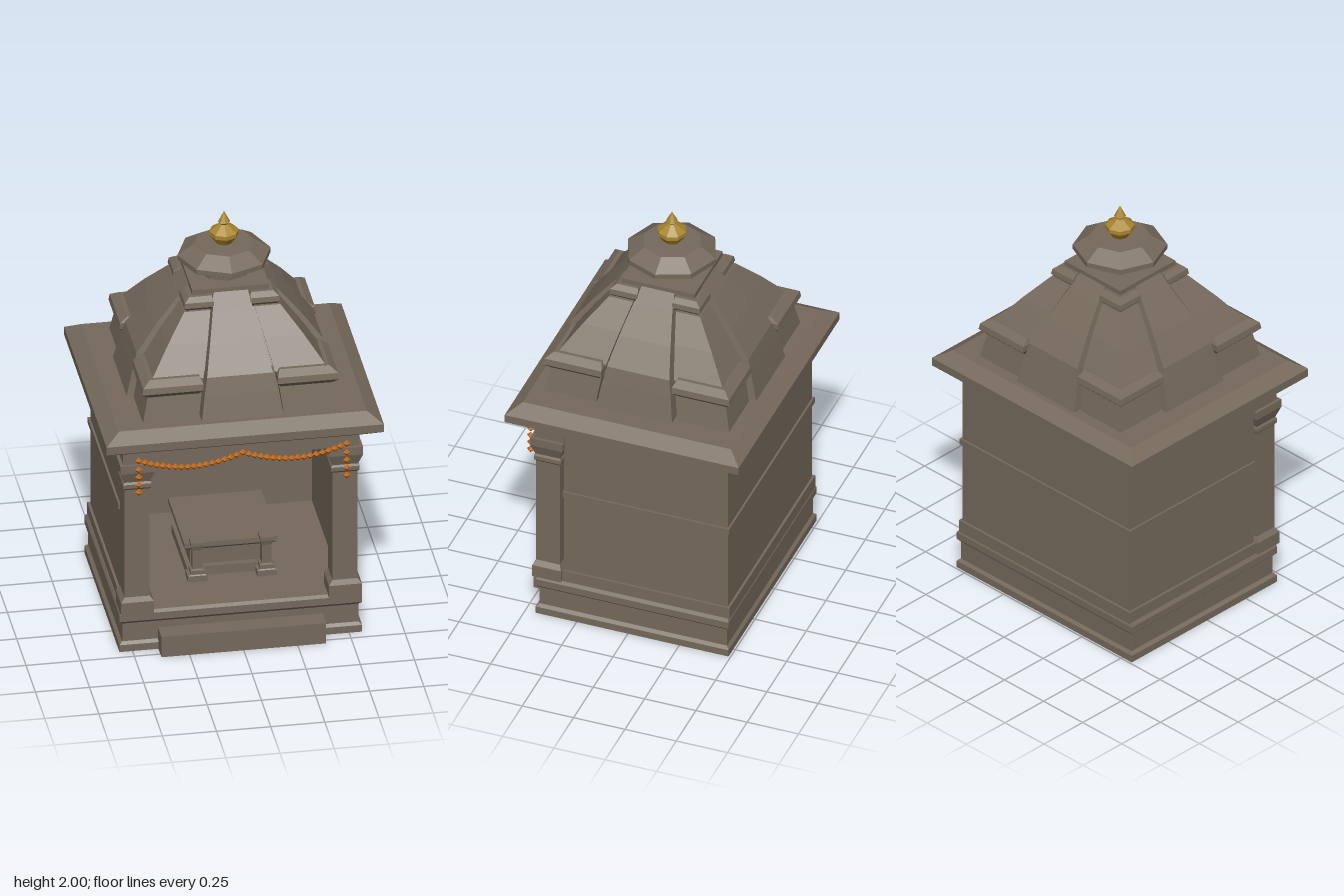
import * as THREE from 'three';

export function createModel() {
  const root = new THREE.Group();
  root.name = 'stoneShrine';
  const stone = new THREE.MeshStandardMaterial({ color: 0x75695b, side: THREE.DoubleSide, flatShading: true });
  stone.name = 'stone';
  const gold = new THREE.MeshStandardMaterial({ color: 0xa8862f, flatShading: true });
  gold.name = 'gold';
  const orange = new THREE.MeshStandardMaterial({ color: 0xc0650f, flatShading: true });
  orange.name = 'marigold orange';

  const add = (name, geo, mat = stone, parent = root) => {
    const mesh = new THREE.Mesh(geo, mat);
    mesh.name = name;
    parent.add(mesh);
    return mesh;
  };
  const group = (name) => {
    const g = new THREE.Group();
    g.name = name;
    root.add(g);
    return g;
  };

  // Stack of rectangular sections, each [y, x0, x1, z0, z1]
  const loft = (rows, openBottom = false) => {
    const rings = rows.map(([y, x0, x1, z0, z1]) => [[x0, y, z1], [x1, y, z1], [x1, y, z0], [x0, y, z0]]);
    const pos = [];
    const quad = (a, b, c, d) => pos.push(...a, ...b, ...c, ...a, ...c, ...d);
    for (let r = 0; r + 1 < rings.length; r++) {
      for (let i = 0; i < 4; i++) {
        const j = (i + 1) % 4;
        quad(rings[r][i], rings[r][j], rings[r + 1][j], rings[r + 1][i]);
      }
    }
    quad(...rings[rings.length - 1]);
    if (!openBottom) quad(...rings[0].slice().reverse());
    const geo = new THREE.BufferGeometry();
    geo.setAttribute('position', new THREE.Float32BufferAttribute(pos, 3));
    geo.computeVertexNormals();
    return geo;
  };
  const box = (x0, x1, y0, y1, z0, z1) => loft([[y0, x0, x1, z0, z1], [y1, x0, x1, z0, z1]]);
  // Sections centred on (cx, cz), each [y, half width, half depth]
  const centred = (rows, cx = 0, cz = 0) => rows.map(([y, w, d = w]) => [y, cx - w, cx + w, cz - d, cz + d]);

  // Hollow moulded plinth whose top is the floor
  add('plinth', loft(centred([
    [0, 0.56, 0.47], [0.035, 0.56, 0.47], [0.048, 0.545, 0.457], [0.14, 0.545, 0.457],
    [0.155, 0.56, 0.47], [0.19, 0.56, 0.47], [0.205, 0.55, 0.462],
  ], 0, -0.02), true));
  add('frontStep', box(-0.38, 0.38, 0, 0.105, 0.43, 0.53));

  // U-shaped walls, open at the front, with bands round the outside
  const uWall = (name, y0, y1, out, inner, front) => {
    const x = 0.535 + out, back = 0.477 + out;
    const pts = [[-x, -front], [-inner, -front], [-inner, 0.43], [inner, 0.43], [inner, -front], [x, -front], [x, back], [-x, back]];
    const shape = new THREE.Shape(pts.map(([a, b]) => new THREE.Vector2(a, b)));
    const geo = new THREE.ExtrudeGeometry(shape, { depth: y1 - y0, bevelEnabled: false });
    geo.rotateX(-Math.PI / 2).translate(0, y0, 0);
    return add(name, geo);
  };
  uWall('walls', 0.2, 1.06, 0, 0.48, 0.322);
  uWall('wallFoot', 0.2, 0.262, 0.012, 0.485, 0.325);
  uWall('wallBand', 0.675, 0.705, 0.01, 0.485, 0.325);

  // Front columns and lintel
  for (const s of [1, -1]) {
    add(s > 0 ? 'leftColumn' : 'rightColumn', loft(centred([
      [0.2, 0.076, 0.07], [0.262, 0.076, 0.07], [0.285, 0.058], [0.845, 0.058], [0.855, 0.066],
      [0.875, 0.066], [0.885, 0.06], [0.94, 0.08], [0.98, 0.08],
    ], s * 0.48, 0.398)));
  }
  add('lintel', box(-0.545, 0.545, 0.978, 1.06, 0.318, 0.462));

  // Altar with two short posts in front
  const altar = group('altar');
  add('altarBase', box(-0.2, 0.2, 0.2, 0.25, -0.24, 0.17), stone, altar);
  add('altarBody', box(-0.18, 0.18, 0.25, 0.35, -0.22, 0.14), stone, altar);
  add('altarTop', loft([
    [0.343, -0.195, 0.195, -0.23, 0.165], [0.36, -0.215, 0.215, -0.25, 0.185], [0.385, -0.215, 0.215, -0.25, 0.185],
  ]), stone, altar);
  for (const x of [-0.16, 0.16]) {
    add('altarPost', loft(centred([
      [0.2, 0.045, 0.036], [0.235, 0.045, 0.036], [0.24, 0.032], [0.26, 0.032], [0.265, 0.022],
      [0.36, 0.022], [0.385, 0.03], [0.402, 0.03],
    ], x, 0.19)), stone, altar);
  }

  // Overhanging cornice
  add('cornice', loft(centred([
    [1.05, 0.555, 0.487], [1.1, 0.64, 0.57], [1.14, 0.64, 0.57], [1.183, 0.572, 0.507],
  ])));

  // Roof tower: a core, two crossing ribs and four ledged corners
  const roof = group('roof');
  add('roofCore', loft(centred([[1.18, 0.41], [1.38, 0.365], [1.5, 0.285], [1.61, 0.19], [1.68, 0.15]])), stone, roof);
  const rib = [[1.18, 0.185, 0.482], [1.3, 0.167, 0.452], [1.38, 0.152, 0.43], [1.5, 0.123, 0.34], [1.62, 0.092, 0.235], [1.68, 0.08, 0.178]];
  add('frontBackRib', loft(centred(rib)), stone, roof);
  add('sideRib', loft(centred(rib.map(([y, w, d]) => [y, d, w]))), stone, roof);
  // Corner tiers as [y, inner edge, outer edge]
  const tiers = {
    cornerFoot: [[1.18, 0.198, 0.452], [1.31, 0.18, 0.425]],
    cornerLedge: [[1.3, 0.19, 0.425], [1.33, 0.172, 0.455], [1.36, 0.172, 0.45], [1.385, 0.185, 0.415]],
    cornerSlope: [[1.37, 0.165, 0.408], [1.5, 0.134, 0.315], [1.615, 0.104, 0.222]],
    cornerCap: [[1.605, 0.098, 0.2], [1.63, 0.085, 0.222], [1.655, 0.085, 0.218], [1.675, 0.09, 0.195]],
  };
  for (const sx of [1, -1]) for (const sz of [1, -1]) {
    for (const [name, rows] of Object.entries(tiers)) {
      add(name, loft(rows.map(([y, a, b]) => [
        y, Math.min(sx * a, sx * b), Math.max(sx * a, sx * b), Math.min(sz * a, sz * b), Math.max(sz * a, sz * b),
      ])), stone, roof);
    }
  }
  add('roofPlate', box(-0.178, 0.178, 1.67, 1.7, -0.178, 0.178), stone, roof);

  // Octagonal neck and crown stone, then the gilded finial
  const lathe = (pts, sides) => new THREE.LatheGeometry(pts.map(([r, y]) => new THREE.Vector2(r, y)), sides);
  add('crownStone', lathe([
    [0, 1.69], [0.12, 1.69], [0.12, 1.725], [0.15, 1.73], [0.215, 1.765], [0.215, 1.79], [0.14, 1.838], [0, 1.84],
  ], 8), stone, roof);
  add('finial', lathe([
    [0, 1.83], [0.036, 1.835], [0.042, 1.845], [0.068, 1.88], [0.068, 1.9], [0.032, 1.925], [0.018, 1.935],
    [0.028, 1.945], [0, 2],
  ], 8), gold);

  // Garland: two swags and a hanging string at each end
  const garland = group('garland');
  const bead = new THREE.OctahedronGeometry(0.018);
  const addBead = (x, y) => add('garlandBead', bead, orange, garland).position.set(x, y, 0.505);
  const n = 34;
  for (let i = 0; i <= n; i++) {
    const t = i / n;
    addBead(-0.48 + 0.96 * t, 1.02 - 0.052 * Math.abs(Math.sin(t * Math.PI * 2)) ** 0.9);
  }
  for (const x of [-0.48, 0.48]) for (let i = 1; i <= 4; i++) addBead(x, 1.012 - i * 0.039);

  return root;
}
